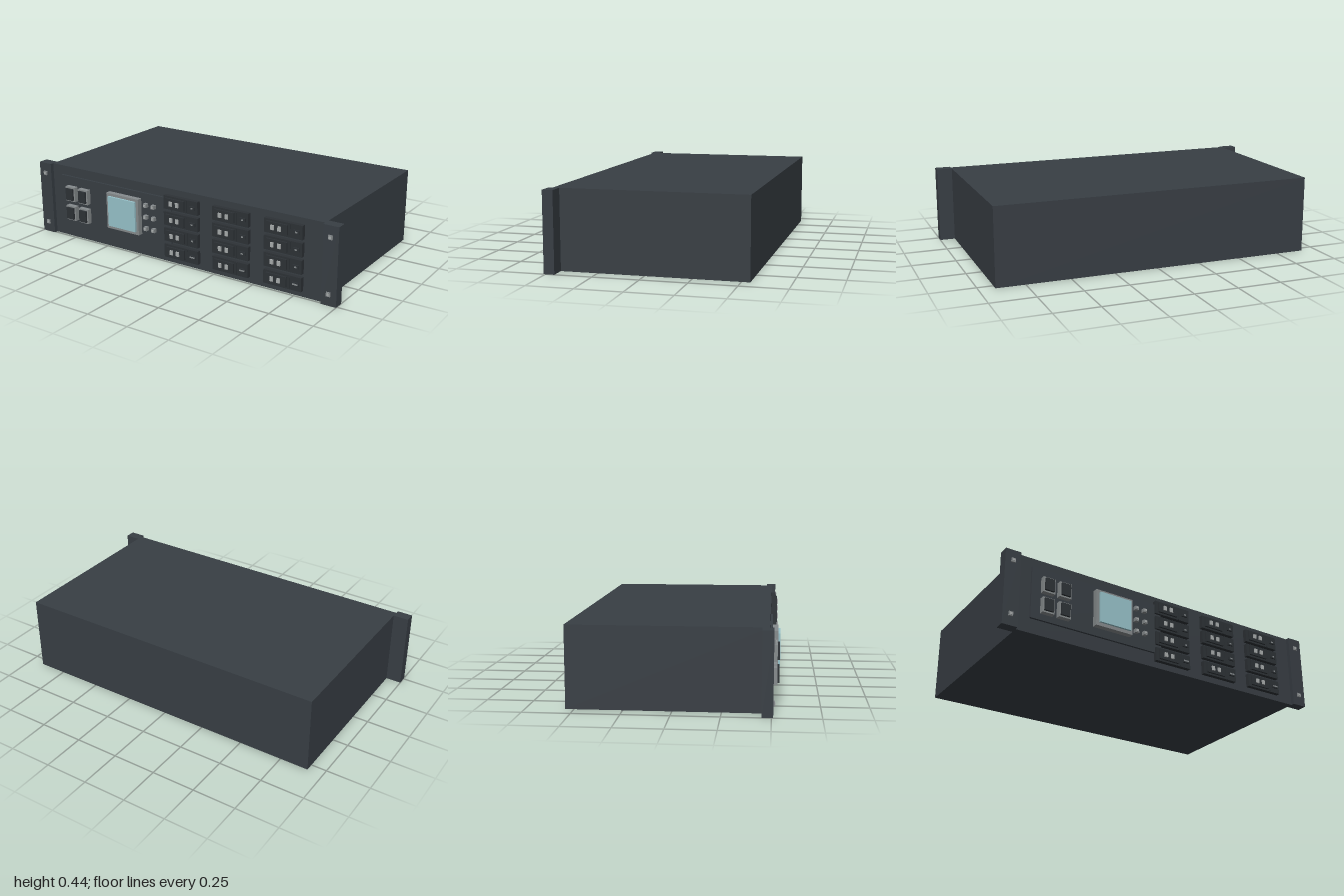
import * as THREE from 'three';

export function createModel() {
  const root = new THREE.Group();
  root.name = 'rackUnit';

  const paint = (name, color) => {
    const m = new THREE.MeshStandardMaterial({ color });
    m.name = name;
    return m;
  };
  const charcoal = paint('charcoal', 0x383e44);
  const dark = paint('darkPlastic', 0x2d3236);
  const grey = paint('midGrey', 0x868b8d);
  const light = paint('lightGrey', 0xa9adad);
  const glass = paint('paleCyan', 0x98c3cb);

  // Box given by its limits on each axis
  function box(parent, name, mat, x0, x1, y0, y1, z0, z1) {
    const mesh = new THREE.Mesh(new THREE.BoxGeometry(x1 - x0, y1 - y0, z1 - z0), mat);
    mesh.position.set((x0 + x1) / 2, (y0 + y1) / 2, (z0 + z1) / 2);
    mesh.name = name;
    parent.add(mesh);
    return mesh;
  }
  // Box centred on a point of the front face
  const block = (parent, name, mat, x, y, w, h, z0, z1) =>
    box(parent, name, mat, x - w / 2, x + w / 2, y - h / 2, y + h / 2, z0, z1);

  function group(name) {
    const g = new THREE.Group();
    g.name = name;
    root.add(g);
    return g;
  }

  // Main case and raised control panel
  box(root, 'case', charcoal, -0.912, 0.912, 0, 0.435, -0.545, 0.487);
  box(root, 'controlPanel', charcoal, -0.84, -0.035, 0.083, 0.38, 0.487, 0.499);

  // Mounting ears with screws
  for (const side of [-1, 1]) {
    const ear = group(side > 0 ? 'leftEar' : 'rightEar');
    block(ear, 'earBlock', charcoal, side * 0.956, 0.2175, 0.088, 0.435, 0.451, 0.509);
    for (const y of [0.064, 0.373]) {
      block(ear, 'screw', grey, side * 0.955, y, 0.024, 0.024, 0.509, 0.516);
      block(ear, 'screwHead', light, side * 0.955, y, 0.012, 0.012, 0.516, 0.519);
    }
  }

  // Four large push buttons
  for (const x of [-0.751, -0.655]) {
    for (const y of [0.281, 0.163]) {
      const b = group('pushButton');
      block(b, 'buttonFrame', grey, x, y, 0.07, 0.088, 0.499, 0.527);
      block(b, 'buttonCap', dark, x, y, 0.052, 0.07, 0.527, 0.538);
    }
  }

  // Display
  const display = group('display');
  box(display, 'bezel', grey, -0.47, -0.241, 0.131, 0.345, 0.499, 0.53);
  box(display, 'screen', glass, -0.451, -0.257, 0.15, 0.329, 0.53, 0.542);

  // Small menu keys
  for (const x of [-0.203, -0.149]) {
    for (const y of [0.313, 0.243, 0.174]) {
      const key = group('menuKey');
      block(key, 'keyBase', grey, x, y, 0.022, 0.022, 0.499, 0.52);
      block(key, 'keyCap', light, x, y, 0.012, 0.012, 0.52, 0.525);
    }
  }

  // Three columns of four breakers
  for (const x of [-0.075, 0.248, 0.571]) {
    [0.361, 0.266, 0.171, 0.074].forEach((y, row) => {
      const b = group('breaker');
      box(b, 'breakerPlate', dark, x, x + 0.227, y - 0.039, y + 0.039, 0.487, 0.511);
      box(b, 'toggleHousing', dark, x + 0.018, x + 0.142, y - 0.028, y + 0.028, 0.511, 0.521);
      for (const dx of [0.057, 0.099]) {
        block(b, 'toggle', light, x + dx, y, 0.019, 0.026, 0.521, 0.528);
      }
      block(b, 'divider', dark, x + 0.156, y, 0.005, 0.07, 0.511, 0.514);
      // Status mark, longer on the lowest row
      block(b, 'statusBase', dark, x + 0.195, y, 0.036, 0.02, 0.511, 0.519);
      block(b, 'statusMark', grey, x + 0.195, y, row === 3 ? 0.032 : 0.012, 0.008, 0.519, 0.521);
    });
  }

  return root;
}
